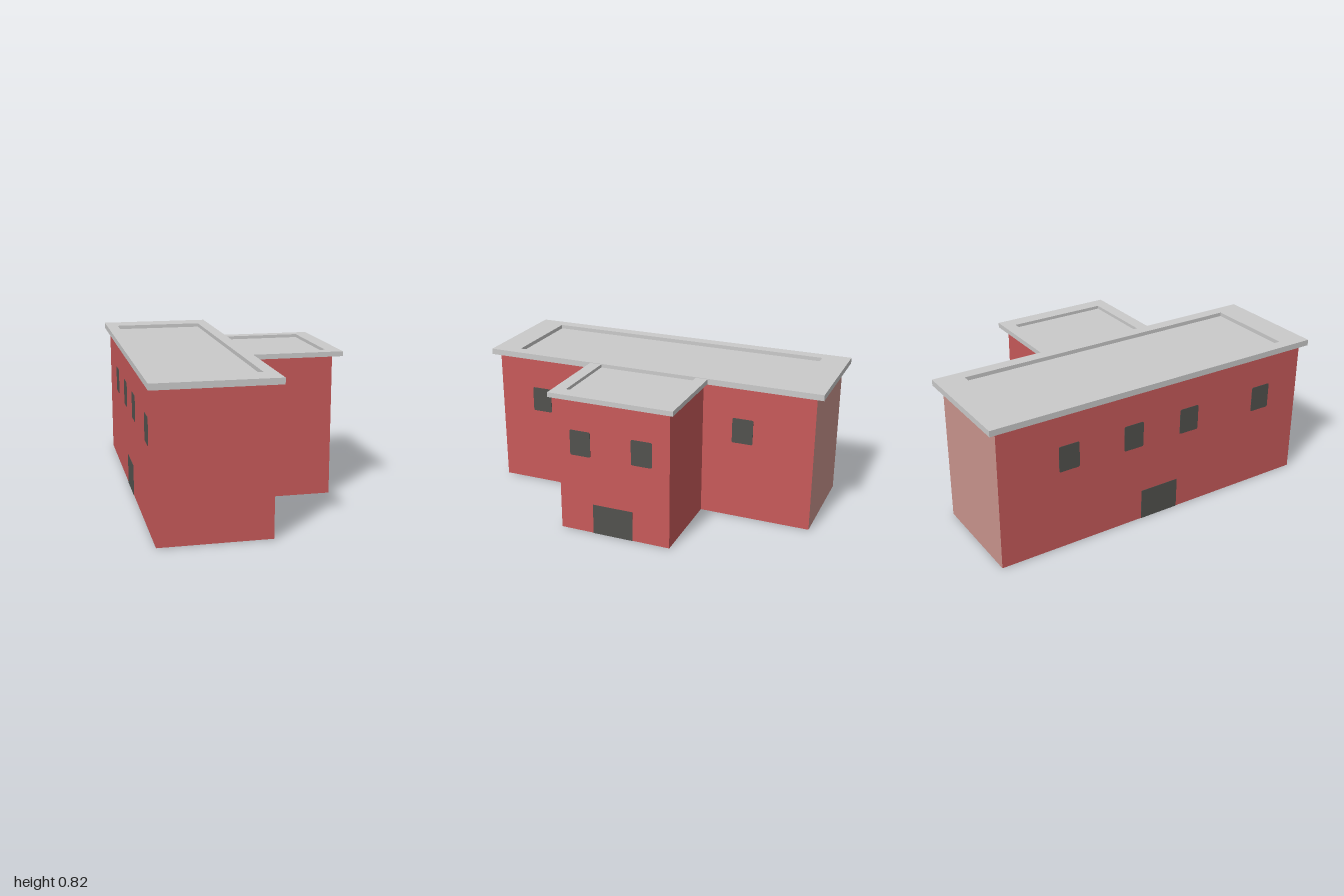
import * as THREE from 'three';

const mat = (name, color) => new THREE.MeshStandardMaterial({ name, color });

export function createModel() {
  const building = new THREE.Group();
  building.name = 'building';
  const red = mat('red wall', 0xc85a5a);
  const pink = mat('faded end wall', 0xcb958e);
  const grey = mat('roof grey', 0xcacaca);
  const dark = mat('dark glass', 0x52524e);

  const add = (name, geometry, material) => {
    const mesh = new THREE.Mesh(geometry, material);
    mesh.name = name;
    building.add(mesh);
    return mesh;
  };
  // Box given by its lower and upper corners
  const block = (name, [x0, y0, z0], [x1, y1, z1], material) =>
    add(name, new THREE.BoxGeometry(x1 - x0, y1 - y0, z1 - z0), material)
      .position.set((x0 + x1) / 2, (y0 + y1) / 2, (z0 + z1) / 2);

  // Walls: long main block with a faded back end, and the side wing
  block('mainWalls', [-0.555, 0, -0.958], [0.037, 0.79, 0.962], [red, red, red, red, red, pink]);
  block('wingWalls', [0.037, 0, -0.32], [0.53, 0.79, 0.325], red);

  // Flat roofs: a raised rim around a sunken deck
  const points = (list) => list.map(([x, z]) => new THREE.Vector2(x, -z));
  const rect = (x0, x1, z) => points([[x0, z], [x1, z], [x1, -z], [x0, -z]]);
  const rim = (name, shape, bottom, top) => {
    const g = new THREE.ExtrudeGeometry(shape, { depth: top - bottom, bevelEnabled: false });
    g.rotateX(-Math.PI / 2).translate(0, bottom, 0);
    add(name, g, grey);
  };
  const mainRim = new THREE.Shape(rect(-0.585, 0.072, 1));
  mainRim.holes.push(new THREE.Path(rect(-0.518, 0.005, 0.845)));
  rim('mainRoofRim', mainRim, 0.787, 0.82);
  block('mainRoofDeck', [-0.518, 0.787, -0.845], [0.005, 0.798, 0.845], grey);

  // The wing rim is open where it meets the main roof
  const wingRim = new THREE.Shape(points([
    [0.072, 0.355], [0.583, 0.355], [0.583, -0.355], [0.072, -0.355],
    [0.072, -0.285], [0.503, -0.285], [0.503, 0.285], [0.072, 0.285],
  ]));
  rim('wingRoofRim', wingRim, 0.79, 0.817);
  block('wingRoofDeck', [0.072, 0.789, -0.285], [0.503, 0.799, 0.285], grey);

  // Thin window panes with softened corners, facing +x or -x
  const pane = new THREE.Shape();
  const w = 0.06, h = 0.073, r = 0.01;
  pane.moveTo(-w + r, -h).lineTo(w - r, -h).quadraticCurveTo(w, -h, w, -h + r)
    .lineTo(w, h - r).quadraticCurveTo(w, h, w - r, h)
    .lineTo(-w + r, h).quadraticCurveTo(-w, h, -w, h - r)
    .lineTo(-w, -h + r).quadraticCurveTo(-w, -h, -w + r, -h);
  const paneGeometry = new THREE.ExtrudeGeometry(pane, { depth: 0.003, bevelEnabled: false, curveSegments: 4 });
  const windowAt = (x, z, side) => {
    const m = add('window', paneGeometry, dark);
    m.position.set(x - side * 0.001, 0.528, z);
    m.rotation.y = side * Math.PI / 2;
  };
  for (const z of [0.695, 0.198, -0.16, -0.553]) {
    windowAt(-0.555, z, -1);
    windowAt(Math.abs(z) < 0.3 ? 0.53 : 0.037, z, 1);
  }

  // Doors at both ends joined by a dark floor strip
  block('wingDoor', [0.529, 0, -0.105], [0.532, 0.175, 0.13], dark);
  block('mainDoor', [-0.557, 0, -0.105], [-0.554, 0.175, 0.13], dark);
  block('passageFloor', [-0.555, -0.002, -0.105], [0.53, 0.001, 0.13], dark);

  return building;
}
